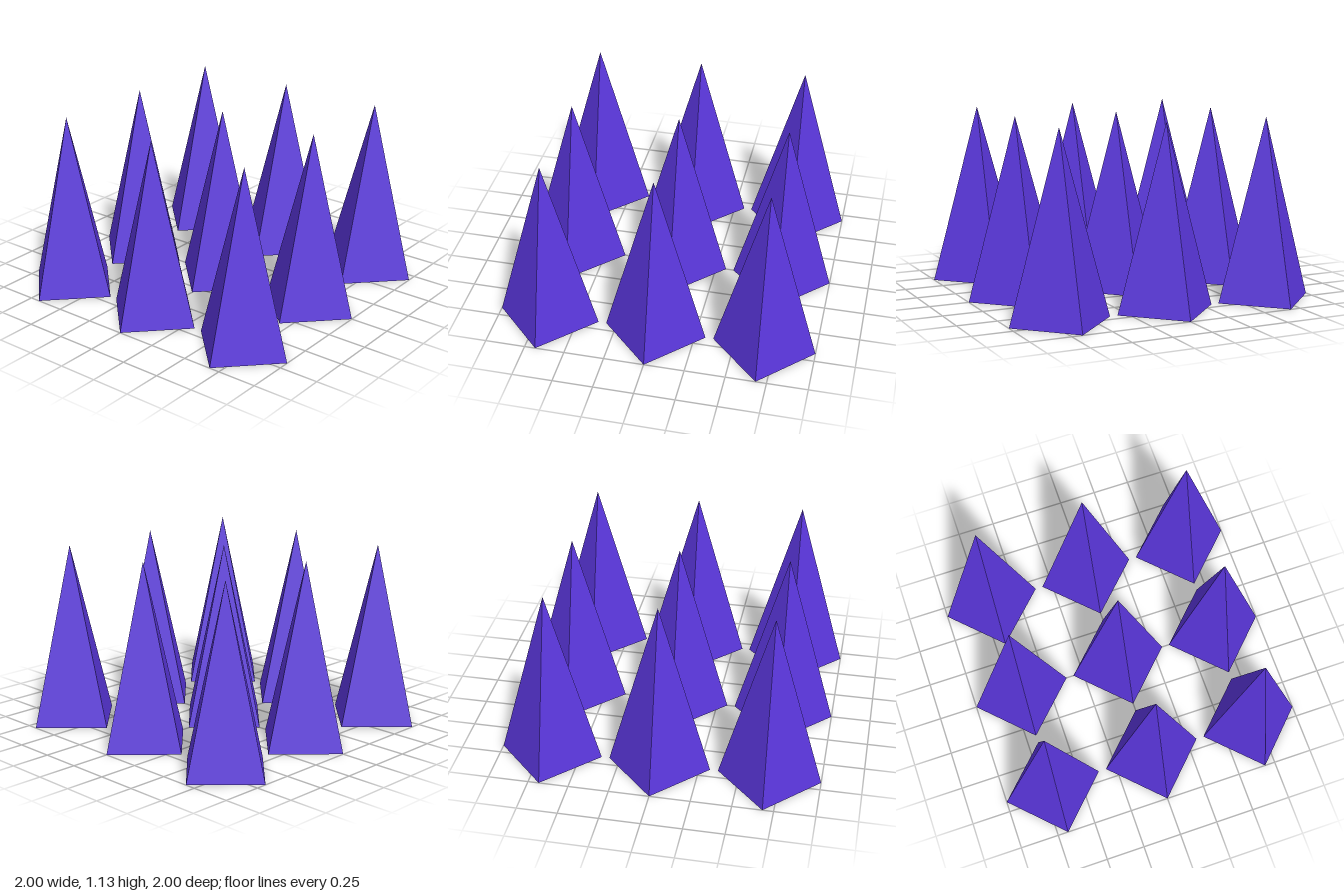
import * as THREE from 'three';

export function createModel() {
  const group = new THREE.Group();
  group.name = 'spikeGrid';

  const radius = 0.317, height = 1.13, spacing = 0.683;
  const material = new THREE.MeshStandardMaterial({ color: 0x5a36dc, flatShading: true });

  // Four-sided spike with a closed base, corners pointing along x and z
  const spike = new THREE.ConeGeometry(radius, height, 4);
  spike.translate(0, height / 2, 0);

  // Three rows of three spikes
  for (let row = -1; row <= 1; row++) {
    for (let column = -1; column <= 1; column++) {
      const mesh = new THREE.Mesh(spike, material);
      mesh.name = `spikeRow${row + 2}Column${column + 2}`;
      mesh.position.set(column * spacing, 0, row * spacing);
      group.add(mesh);
    }
  }
  return group;
}
